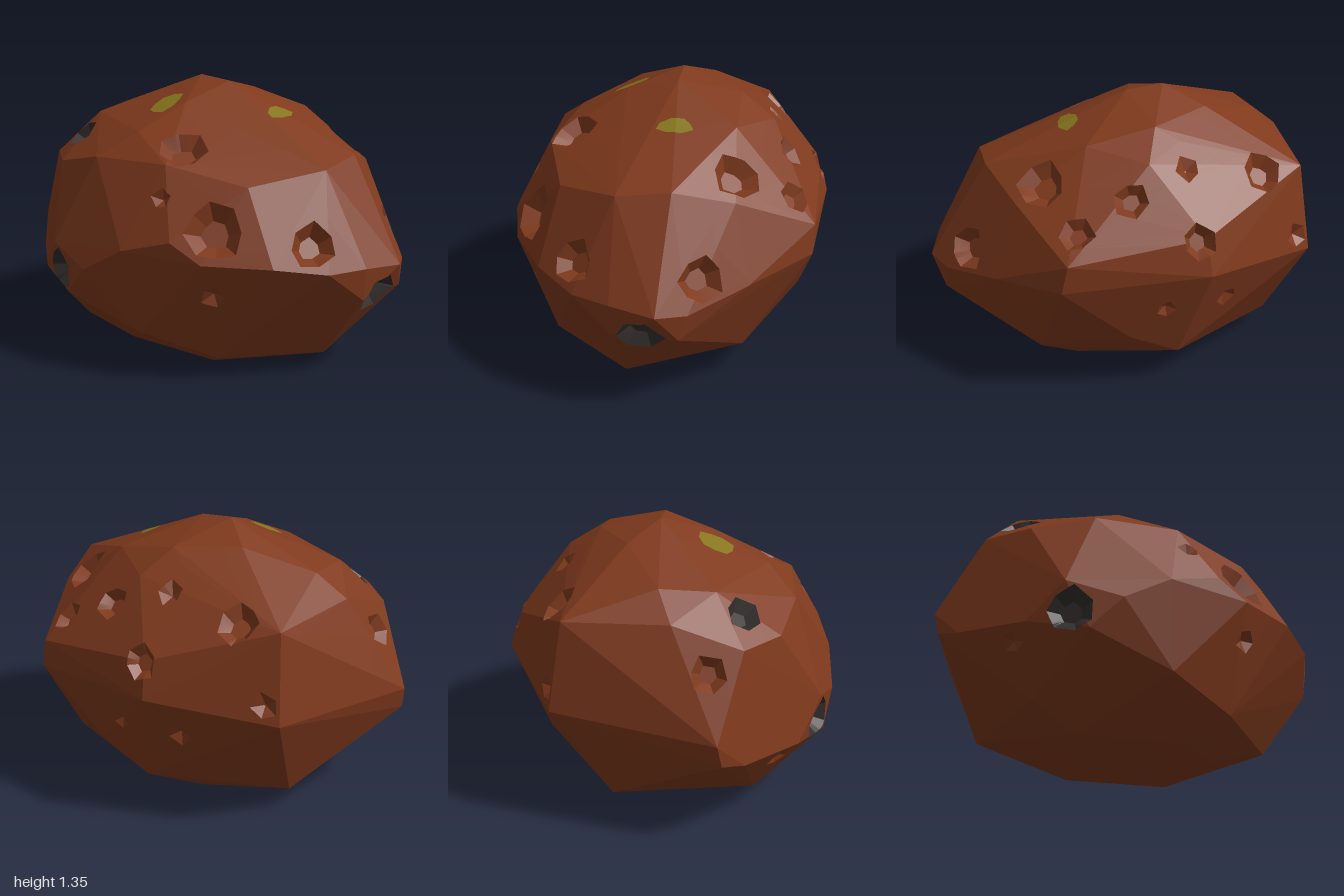
import * as THREE from 'three';
import { ConvexGeometry } from 'three/addons/geometries/ConvexGeometry.js';

const V = (x, y, z) => new THREE.Vector3(x, y, z);

// Corners of the boulder, from the flat base up to the crown
const BASE = [[.3, 0, -.31], [.4, 0, .12], [.22, 0, .34], [-.32, 0, .34], [-.22, 0, -.33]];
const SKIRT = [[.7, .08, .08], [.38, .1, .5], [.05, .21, .69], [-.55, .11, .43], [-.7, .12, -.24], [-.15, .18, -.65], [.5, .16, -.46]];
const WAIST_LOW = [[.94, .405, -.21], [.93, .4, .1], [-.36, .35, .76], [-.63, .4, .64], [-.9, .42, .4], [-.98, .45, .3], [.1, .32, -.7]];
const WAIST = [[1, .54, -.11], [.95, .56, .11], [.87, .56, .3], [.7, .6, .5], [.42, .61, .68], [.27, .7, .72], [.02, .63, .78],
  [-.21, .5, .8], [-.47, .58, .74], [-1, .56, .28], [-.83, .61, -.51], [.43, .64, -.775], [.71, .59, -.5], [.93, .53, -.25]];
const SHOULDER = [[.71, 1.03, -.14], [.72, 1, .12], [.5, .94, .43], [.12, 1.02, .57], [-.3, 1.01, .6], [-.6, .94, .54], [-.79, .94, .38],
  [-.78, 1.04, -.45], [-.27, .68, -.81], [-.25, .86, -.77], [.4, .78, -.78], [.6, .95, -.42]];
const CROWN = [[-.18, 1.35, -.06], [0, 1.33, -.06], [-.06, 1.25, .21], [-.15, 1.13, .46], [-.62, 1.15, .24], [-.66, 1.17, -.02],
  [-.48, 1.235, -.05], [-.79, 1.05, .05], [-.66, 1.1, -.37], [-.36, 1.275, -.2], [-.19, 1.2, -.42], [-.08, 1.26, -.37],
  [.25, 1.19, -.38], [-.02, 1.15, -.54]];

// Craters: x, y, z, radius, sides
const CRATERS = [
  [.47, .8, .66, .137, 8], [.13, 1.09, .45, .12, 7], [.15, .885, .65, .052, 5], [.79, .69, .31, .11, 7],
  [.47, .41, .68, .06, 5], [-.69, .315, .57, .055, 5], [.84, .67, -.31, .11, 7], [.48, 1.04, -.42, .12, 7],
  [.34, .89, -.67, .085, 6], [.08, 1.02, -.64, .085, 6], [-.2, 1.12, -.54, .065, 5], [-.22, .84, -.75, .085, 6],
  [-.57, 1.02, -.48, .1, 7], [-.86, .85, .23, .09, 6], [-.07, .5, -.72, .05, 5], [-.37, .48, -.66, .06, 5], [-.74, .7, -.5, .065, 5]];
const DARK_CRATERS = [[-.44, .44, .74, .11, 7], [.93, .405, -.03, .113, 6], [-.64, 1.09, .4, .095, 6]];
// Patches: x, y, z, half width, sides, half length
const PATCHES = [[-.19, 1.24, .21, .074, 9, .1], [.3, 1.2, -.09, .054, 8, .088]];

// Flat-shaded mesh from convex polygons
function polyMesh(polys, material, name) {
  const pts = [];
  for (const p of polys) for (let i = 1; i < p.length - 1; i++) pts.push(p[0], p[i], p[i + 1]);
  const geometry = new THREE.BufferGeometry().setFromPoints(pts);
  geometry.computeVertexNormals();
  const mesh = new THREE.Mesh(geometry, material);
  mesh.name = name;
  return mesh;
}

// Splits a convex polygon by a plane into [behind, in front]
function split(poly, plane) {
  const back = [], front = [];
  poly.forEach((a, i) => {
    const b = poly[(i + 1) % poly.length];
    const da = plane.distanceToPoint(a), db = plane.distanceToPoint(b);
    if (da <= 1e-7) back.push(a);
    if (da >= -1e-7) front.push(a);
    if ((da < -1e-7 && db > 1e-7) || (da > 1e-7 && db < -1e-7)) {
      const m = a.clone().lerp(b, da / (da - db));
      back.push(m);
      front.push(m);
    }
  });
  return [back, front];
}

function area(poly) {
  let sum = 0;
  for (let i = 1; i < poly.length - 1; i++) {
    sum += poly[i].clone().sub(poly[0]).cross(poly[i + 1].clone().sub(poly[0])).length() / 2;
  }
  return sum;
}

export function createModel() {
  const rock = new THREE.MeshStandardMaterial({ color: 0x803a1d });
  const charcoal = new THREE.MeshStandardMaterial({ color: 0x342e2e });
  const olive = new THREE.MeshStandardMaterial({ color: 0x87751c });
  rock.name = 'brown rock';
  charcoal.name = 'charcoal';
  olive.name = 'olive';

  const group = new THREE.Group();
  group.name = 'boulder';

  // Faceted hull and its face planes
  const points = [BASE, SKIRT, WAIST_LOW, WAIST, SHOULDER, CROWN].flat().map(p => V(...p));
  const pos = new ConvexGeometry(points).getAttribute('position');
  let shell = [];
  const planes = [];
  for (let i = 0; i < pos.count; i += 3) {
    const tri = [0, 1, 2].map(k => V().fromBufferAttribute(pos, i + k));
    if (area(tri) < 1e-7) continue;
    shell.push(tri);
    planes.push(new THREE.Plane().setFromCoplanarPoints(...tri));
  }

  // Drops a point onto the hull along -n
  function land(p, n) {
    const start = p.clone().addScaledVector(n, 3);
    let t = 0;
    for (const pl of planes) {
      const d = -pl.normal.dot(n);
      if (d < -1e-4) t = Math.max(t, -pl.distanceToPoint(start) / d);
    }
    return start.addScaledVector(n, -t);
  }

  // Average normal of the faces near a point
  function normalAt(p, r) {
    const best = Math.max(...planes.map(pl => pl.distanceToPoint(p)));
    const n = V();
    for (const pl of planes) {
      const w = Math.max(0, 1 - (best - pl.distanceToPoint(p)) / (r * 0.4));
      n.addScaledVector(pl.normal, w);
    }
    return n.normalize();
  }

  // Cuts an irregular outline out of the shell; returns the rim and the pieces removed
  function cut([x, y, z, r, sides, length = r], seed) {
    const c = V(x, y, z), n = normalAt(c, r);
    const v = (Math.abs(n.z) > 0.8 ? V(0, 1, 0) : V(0, 0, 1)).projectOnPlane(n).normalize();
    const u = v.clone().cross(n);
    const rim = [];
    for (let i = 0; i < sides; i++) {
      const a = (i + 0.15 * Math.sin(seed * 3 + i * 5)) / sides * Math.PI * 2 + seed;
      const k = 1 + 0.1 * Math.sin(seed * 7 + i * 2.4);
      rim.push(land(c.clone().addScaledVector(u, Math.cos(a) * r * k).addScaledVector(v, Math.sin(a) * length * k), n));
    }
    const walls = rim.map((a, i) => {
      const side = rim[(i + 1) % sides].clone().sub(a).cross(n).normalize();
      return new THREE.Plane().setFromNormalAndCoplanarPoint(side, a);
    });
    const kept = [], removed = [];
    for (const poly of shell) {
      const facing = poly[1].clone().sub(poly[0]).cross(poly[2].clone().sub(poly[0])).dot(n);
      let inside = poly;
      const outside = [];
      for (const wall of walls) {
        if (facing <= 0 || inside.length < 3) break;
        const [back, front] = split(inside, wall);
        if (front.length > 2 && area(front) > 1e-9) outside.push(front);
        inside = back;
      }
      if (facing <= 0 || inside.length < 3 || area(inside) < 1e-7) kept.push(poly);
      else {
        kept.push(...outside);
        removed.push(inside);
      }
    }
    shell = kept;
    return { rim, n, removed };
  }

  // Sunken bowls: sloping walls and a small floor, or nearly a point for little ones
  function crater(spec, seed, material, name) {
    const { rim, n } = cut(spec, seed);
    const r = spec[3], steps = 10;
    const centre = rim.reduce((s, p) => s.add(p), V()).divideScalar(rim.length).addScaledVector(n, -r * 0.5);
    const tip = r < 0.07 ? 0.08 : 0.48;
    const floor = rim.map(p => p.clone().sub(centre).projectOnPlane(n).multiplyScalar(tip).add(centre));
    const polys = [floor];
    rim.forEach((p, i) => {
      const j = (i + 1) % rim.length;
      // The top edge of each wall follows the creases of the hull
      const edge = Array.from({ length: steps + 1 }, (_, k) => land(p.clone().lerp(rim[j], k / steps), n));
      const foot = edge.map((_, k) => floor[i].clone().lerp(floor[j], k / steps));
      for (let k = 0; k < steps; k++) polys.push([edge[k], edge[k + 1], foot[k + 1], foot[k]]);
    });
    group.add(polyMesh(polys, material, name));
  }

  CRATERS.forEach((s, i) => crater(s, i + 1, rock, 'crater' + (i + 1)));
  DARK_CRATERS.forEach((s, i) => crater(s, i + 31, charcoal, 'darkCrater' + (i + 1)));

  // Olive patches lie flush in the surface
  PATCHES.forEach((s, i) => group.add(polyMesh(cut(s, i * 2).removed, olive, 'olivePatch' + (i + 1))));

  group.add(polyMesh(shell, rock, 'rockBody'));
  return group;
}
